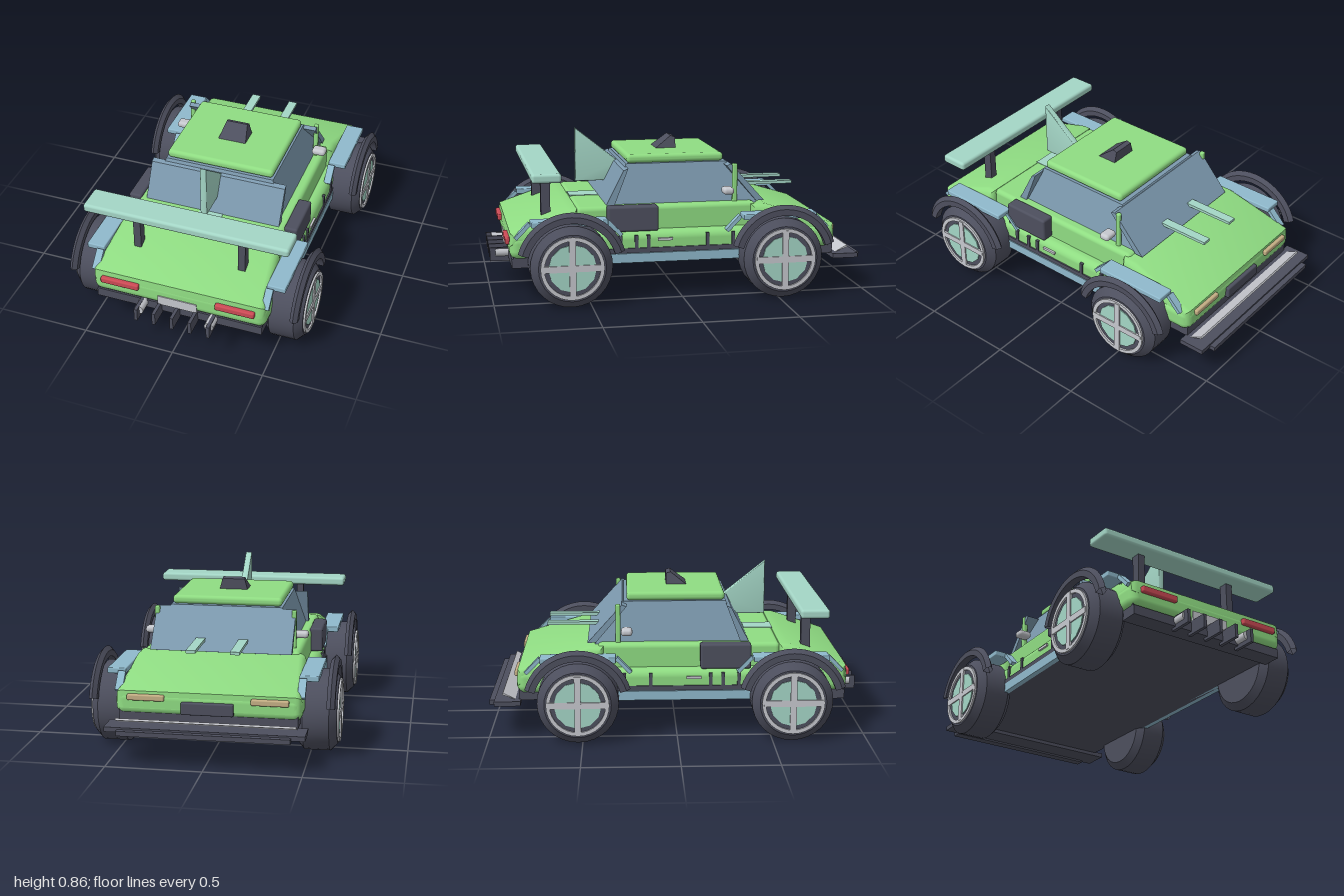
import * as THREE from 'three';
import { toCreasedNormals } from 'three/addons/utils/BufferGeometryUtils.js';
import { RoundedBoxGeometry } from 'three/addons/geometries/RoundedBoxGeometry.js';

const paint = (name, color, side = THREE.FrontSide) => {
  const m = new THREE.MeshStandardMaterial({ color, side });
  m.name = name;
  return m;
};

export function createModel() {
  const car = new THREE.Group();
  car.name = 'car';
  const green = paint('green paint', 0x8fdc82);
  const dark = paint('dark trim', 0x4d4f5e, THREE.DoubleSide);
  const teal = paint('teal', 0xa4d6c6);
  const blue = paint('pale blue', 0x8fb9cc);
  const glass = paint('glass', 0x7c99ae);
  const grey = paint('light grey', 0xc6c8ce);
  const red = paint('red light', 0xcc4a55);
  const beige = paint('beige light', 0xc4ae84);

  const add = (name, geo, mat, parent = car) => {
    const m = new THREE.Mesh(geo, mat);
    m.name = name;
    parent.add(m);
    return m;
  };
  // box given by its limits, optionally rounded
  const block = (name, mat, [x0, x1], [y0, y1], [z0, z1], r = 0) => {
    const w = Math.abs(x1 - x0), h = y1 - y0, d = z1 - z0;
    const g = r ? new RoundedBoxGeometry(w, h, d, 3, r) : new THREE.BoxGeometry(w, h, d);
    const m = add(name, g, mat);
    m.position.set((x0 + x1) / 2, (y0 + y1) / 2, (z0 + z1) / 2);
    return m;
  };
  // (z, y) outline spread across x, optionally bevelled and narrowed from half width w0 (at y0) to w1 (at y1)
  const profile = (name, mat, pts, half, bevel = 0, taper = null) => {
    const g = new THREE.ExtrudeGeometry(new THREE.Shape(pts.map(p => new THREE.Vector2(...p))), {
      depth: 2 * (half - bevel), bevelEnabled: bevel > 0, bevelSize: bevel,
      bevelThickness: bevel, bevelOffset: -bevel, bevelSegments: 3,
    });
    g.translate(0, 0, -(half - bevel)).rotateY(-Math.PI / 2);
    if (taper) {
      const [y0, y1, top] = taper, p = g.attributes.position;
      for (let i = 0; i < p.count; i++) {
        const t = Math.min(1, Math.max(0, (p.getY(i) - y0) / (y1 - y0)));
        p.setX(i, p.getX(i) * (1 + t * (top / half - 1)));
      }
    }
    g.computeVertexNormals();
    return add(name, toCreasedNormals(g, 0.6), mat);
  };

  // body shell
  block('lowerBody', green, [-0.48, 0.48], [0.23, 0.36], [-0.85, 0.91], 0.045);
  block('upperBody', green, [-0.42, 0.42], [0.33, 0.487], [-0.42, 0.555], 0.025);
  profile('hood', green, [[-0.85, 0.27], [-0.39, 0.27], [-0.39, 0.475], [-0.47, 0.475], [-0.845, 0.36]],
    0.475, 0.03, [0.36, 0.48, 0.445]);
  profile('rearDeck', green, [[0.55, 0.3], [0.91, 0.3], [0.905, 0.37], [0.6, 0.48], [0.55, 0.48]],
    0.475, 0.03, [0.36, 0.48, 0.435]);
  block('chassis', dark, [-0.46, 0.46], [0.195, 0.27], [-0.84, 0.89]);

  // cabin
  profile('cabinGlass', glass, [[-0.44, 0.47], [0.36, 0.47], [0.27, 0.695], [-0.28, 0.695]], 0.37, 0, [0.48, 0.695, 0.305]);
  profile('windshield', glass, [[-0.475, 0.485], [-0.43, 0.485], [-0.265, 0.68], [-0.29, 0.69]], 0.38);
  profile('rearWindow', glass, [[0.345, 0.485], [0.39, 0.485], [0.295, 0.67], [0.27, 0.68]], 0.38);
  block('roof', green, [-0.3, 0.3], [0.695, 0.742], [-0.265, 0.265], 0.02);
  profile('roofScoop', dark, [[0.075, 0.735], [-0.045, 0.735], [-0.045, 0.8], [-0.02, 0.808]].reverse(), 0.08, 0, [0.735, 0.808, 0.06]);

  // fin, wing and hood bars
  profile('rearFin', teal, [[0.51, 0.56], [0.51, 0.86], [0.265, 0.665], [0.33, 0.56]], 0.018, 0.006);
  block('finBase', teal, [-0.065, 0.065], [0.484, 0.49], [0.39, 0.55]);
  block('wing', teal, [-0.56, 0.56], [0.645, 0.693], [0.643, 0.797], 0.015);
  for (const s of [-1, 1]) {
    block('wingStrut', dark, [s * 0.27, s * 0.31], [0.42, 0.65], [0.68, 0.73]);
    block('hoodBar', teal, [s * 0.09, s * 0.14], [0.53, 0.546], [-0.7, -0.36]);

    // side trim
    block('sill', blue, [s * 0.44, s * 0.49], [0.195, 0.245], [-0.42, 0.42]);
    block('sillRail', dark, [s * 0.44, s * 0.487], [0.247, 0.272], [-0.42, 0.42]);
    for (const z of [0.33, 0.245, 0.18, -0.14, -0.28])
      block('sidePost', dark, [s * 0.46, s * 0.487], [0.26, 0.34], [z - 0.009, z + 0.009]);
    block('doorHandle', grey, [s * 0.47, s * 0.49], [0.308, 0.322], [0.05, 0.13]);
    block('sideIntake', dark, [s * 0.41, s * 0.484], [0.36, 0.495], [0.125, 0.395], 0.012);
    block('mirrorPost', green, [s * 0.36, s * 0.386], [0.48, 0.692], [-0.325, -0.298], 0.008);
    block('mirror', grey, [s * 0.37, s * 0.447], [0.532, 0.57], [-0.295, -0.235], 0.017);

    // lights and exhaust
    block('tailLight', red, [s * 0.212, s * 0.425], [0.306, 0.341], [0.89, 0.93], 0.008);
    block('headlight', beige, [s * 0.222, s * 0.415], [0.313, 0.345], [-0.865, -0.82], 0.008);
    const pipe = add('exhaust', new THREE.CylinderGeometry(0.025, 0.025, 0.1, 16).rotateX(Math.PI / 2), grey);
    pipe.position.set(s * 0.195, 0.217, 0.92);
  }

  // bumpers, grille, splitter and diffuser
  block('numberPlate', grey, [-0.108, 0.108], [0.24, 0.295], [0.9, 0.915]);
  block('frontGrille', dark, [-0.135, 0.135], [0.25, 0.315], [-0.87, -0.83], 0.008);
  block('splitter', dark, [-0.51, 0.51], [0.175, 0.2], [-0.97, -0.83]);
  block('splitterLip', dark, [-0.44, 0.44], [0.165, 0.19], [-1, -0.95]);
  profile('splitterBlade', grey, [[-0.865, 0.2], [-0.86, 0.2], [-0.925, 0.235], [-0.93, 0.225]], 0.46);
  block('diffuserPlate', dark, [-0.46, 0.46], [0.185, 0.235], [0.8, 0.9]);
  for (let i = -2; i <= 2; i++)
    block('diffuserFin', dark, [i * 0.1 - 0.009, i * 0.1 + 0.009], [0.17, 0.243], [0.87, 1]);

  // wheels with arches and fender plates
  const lathe = (pts, seg, start = 0, len = Math.PI * 2) => toCreasedNormals(
    new THREE.LatheGeometry(pts.map(p => new THREE.Vector2(...p)), seg, start, len).rotateZ(-Math.PI / 2), 0.5);
  const tyreGeo = lathe([[0, -0.103], [0.175, -0.103], [0.214, -0.07], [0.214, 0.065], [0.175, 0.103], [0, 0.103]], 32);
  const rimGeo = lathe([[0.145, 0.1], [0.165, 0.1], [0.165, 0.113], [0.145, 0.113], [0.145, 0.1]], 32);
  const discGeo = lathe([[0.125, 0.1], [0.125, 0.108], [0, 0.108]], 12);
  const archGeo = lathe([[0.232, -0.021], [0.265, -0.021], [0.287, 0], [0.265, 0.021], [0.232, 0.021], [0.232, -0.021]],
    20, Math.PI + 0.28, Math.PI - 0.56);
  for (const z of [0.603, -0.523]) for (const s of [-1, 1]) {
    const wheel = new THREE.Group();
    wheel.name = 'wheel';
    wheel.position.set(s * 0.538, 0.2145, z);
    if (s < 0) wheel.rotation.y = Math.PI;
    car.add(wheel);
    add('tyre', tyreGeo, dark, wheel);
    add('rim', rimGeo, grey, wheel);
    add('hubDisc', discGeo, teal, wheel);
    add('spokeUpright', new THREE.BoxGeometry(0.02, 0.31, 0.034), grey, wheel).position.x = 0.105;
    add('spokeLevel', new THREE.BoxGeometry(0.02, 0.034, 0.31), grey, wheel).position.x = 0.1045;
    add('wheelArch', archGeo, dark, wheel).position.x = 0.077;

    // fender plate with sloping ends
    block('fender', blue, [s * 0.45, s * 0.55], [0.412, 0.443], [z - 0.2, z + 0.2], 0.006);
    for (const e of [-1, 1]) {
      const end = block('fenderEnd', blue, [s * 0.45, s * 0.49], [0.375, 0.395], [z + e * 0.24 - 0.055, z + e * 0.24 + 0.055]);
      end.rotation.x = e * 0.8;
    }
  }
  return car;
}
